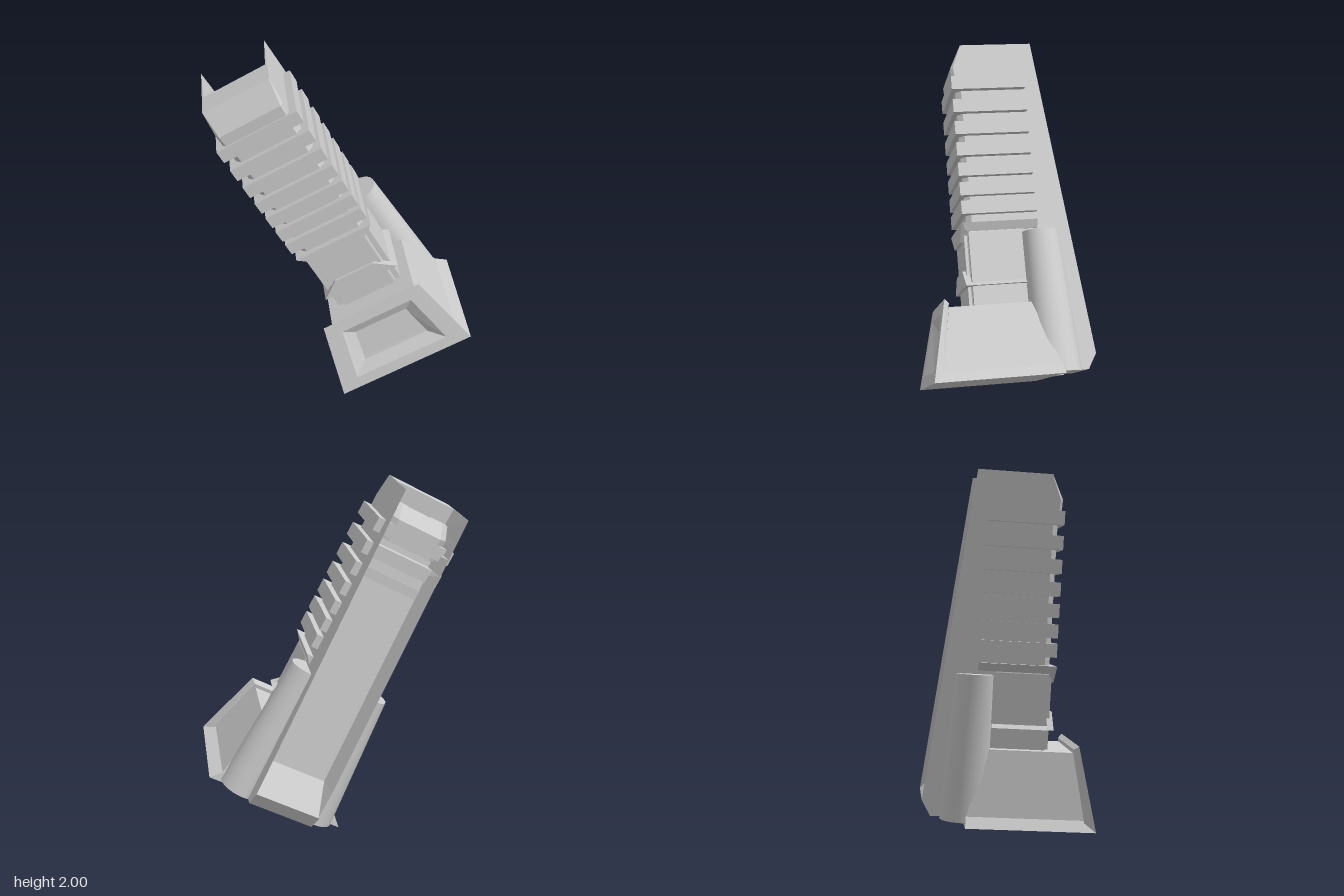
import * as THREE from 'three';

const mat = new THREE.MeshStandardMaterial({ color: 0xcccccc, flatShading: true });
const smooth = new THREE.MeshStandardMaterial({ color: 0xcccccc });

// Solid through matching rings of [x, y, z] corners, stacked along +y or +z,
// each ring counter-clockwise seen from the far end; both ends are capped.
function loft(rings, axis) {
  const pos = [];
  const n = rings[0].length;
  const tri = (a, b, c) => pos.push(...a, ...b, ...c);
  for (let k = 0; k < rings.length - 1; k++) {
    for (let i = 0; i < n; i++) {
      const j = (i + 1) % n;
      const [a, b, c, d] = [rings[k][i], rings[k][j], rings[k + 1][j], rings[k + 1][i]];
      tri(a, b, c);
      tri(a, c, d);
    }
  }
  const cap = (ring, flip) => {
    const flat = ring.map(([x, y, z]) => new THREE.Vector2(x, axis === 'y' ? -z : y));
    for (const [a, b, c] of THREE.ShapeUtils.triangulateShape(flat, [])) {
      if (flip) tri(ring[a], ring[c], ring[b]);
      else tri(ring[a], ring[b], ring[c]);
    }
  };
  cap(rings[0], true);
  cap(rings[rings.length - 1], false);
  const g = new THREE.BufferGeometry();
  g.setAttribute('position', new THREE.Float32BufferAttribute(pos, 3));
  g.computeVertexNormals();
  return g;
}

// Rectangle ring at height y
const rect = (y, w, back, front) =>
  [[-w, y, front], [w, y, front], [w, y, back], [-w, y, back]];

// Column section: chamfered front corners, open channel between tapered back walls
const section = (y, front, rim, floor, inner = 0.165, c = 0.03) => {
  const w = 0.197;
  return [[-w + c, front], [w - c, front], [w, front - c], [w, rim], [inner, floor],
    [-inner, floor], [-w, rim], [-w, front - c]].map(([x, z]) => [x, y, z]);
};

export function createModel() {
  const model = new THREE.Group();
  const add = (name, geometry, material = mat) => {
    const m = new THREE.Mesh(geometry, material);
    m.name = name;
    model.add(m);
    return m;
  };

  // Column with the sloping back channel
  const rim = y => -0.47 + (y - 0.106) * 0.115;
  const floor = y => rim(y) + 0.12;
  add('column', loft([
    section(0.02, 0.2, -0.42, -0.42),
    section(0.106, 0.2, rim(0.106), rim(0.106), 0.19),
    section(0.27, 0.2, rim(0.27), floor(0.27)),
    section(1.56, 0.2, rim(1.56), floor(1.56)),
    section(1.6, 0.2, rim(1.6), floor(1.6) + 0.035),
    section(1.68, 0.2, rim(1.68), floor(1.68) + 0.035),
    section(1.7, 0.215, rim(1.7), 0, 0.175, 0.02),
    section(1.8, 0.22, rim(1.8), 0, 0.18, 0.015),
    section(1.935, 0.155, rim(1.935), 0, 0.185, 0.002),
  ], 'y'));

  // Notched block with a sloping back in the upper end of the channel
  const block = (y, back) => [[-0.178, 0], [-0.07, 0], [-0.07, -0.05], [0.07, -0.05], [0.07, 0], [0.178, 0],
    [0.178, back + 0.05], [0.13, back], [-0.13, back], [-0.178, back + 0.05]].map(([x, z]) => [x, y, z]);
  add('channelBlock', loft([block(1.64, -0.2), block(1.77, -0.2), block(1.84, -0.11)], 'y'));

  // Grip ridges, closing up slightly towards the base
  for (let i = 0; i < 7; i++) {
    const y = 1.696 - i * (0.1395 - 0.003 * i);
    add('gripRidge', new THREE.BoxGeometry(0.476, 0.077, 0.428)).position.set(0, y, 0.014);
  }

  // Recess panels between and below the two lips
  add('frontPanel', new THREE.BoxGeometry(0.33, 0.45, 0.03)).position.set(0, 0.625, 0.202);
  add('sidePanels', loft([rect(0.4, 0.204, -0.1, 0.195), rect(0.83, 0.204, -0.1, 0.195),
    rect(0.85, 0.197, -0.1, 0.195)], 'y'));

  // Lips with a tapered tongue on the front, facing each other
  const upperBack = -0.2, lowerBack = -0.11;
  add('upperLip', loft([rect(0.835, 0.204, upperBack, 0.21), rect(0.88, 0.237, upperBack, 0.228)], 'y'));
  add('lowerLip', loft([rect(0.525, 0.237, lowerBack, 0.228), rect(0.545, 0.204, lowerBack, 0.21)], 'y'));
  for (const [y, dir] of [[0.88, -1], [0.525, 1]]) {
    const outline = [[-0.237, y], [0.237, y], [0.125, y + dir * 0.095], [-0.125, y + dir * 0.095]];
    if (dir < 0) outline.reverse();
    const ring = z => outline.map(([x, yy]) => [x, yy, z]);
    add('lipTongue', loft([ring(0.2), ring(0.235)], 'z'));
  }

  // Rounded side tubes, wider towards the base, cut flat where they meet the column
  for (const side of [-1, 1]) {
    const g = new THREE.CylinderGeometry(0.103, 0.13, 0.8, 24);
    const p = g.attributes.position;
    for (let i = 0; i < p.count; i++) {
      const t = 0.5 - p.getY(i) / 0.8;
      const out = Math.max(side * p.getX(i) + 0.195 + 0.028 * t, 0.185);
      p.setXYZ(i, side * out, p.getY(i) + 0.415, p.getZ(i) - 0.215 - 0.025 * t);
    }
    g.computeVertexNormals();
    add('sideTube', g, smooth);
  }

  // Flared base with a bevelled foot
  add('base', loft([rect(0, 0.419, -0.24, 0.469), rect(0.054, 0.362, -0.235, 0.41),
    rect(0.41, 0.267, -0.115, 0.345)], 'y'));

  // Leaning front plate with a bevelled recess
  const panel = (y0, w0, y1, w1, dz0, dz1 = dz0) => [[-w0, y0, dz0], [w0, y0, dz0], [w1, y1, dz1], [-w1, y1, dz1]]
    .map(([x, y, dz]) => [x, y, 0.47 - 0.22 * y + dz]);
  add('frontPlate', loft([
    panel(0.04, 0.375, 0.43, 0.28, -0.05, -0.03),
    panel(0, 0.419, 0.452, 0.306, 0),
    panel(0.066, 0.293, 0.38, 0.222, 0),
    panel(0.12, 0.205, 0.305, 0.155, -0.045),
  ], 'z'));

  // Lean the whole piece to its right
  model.rotation.z = THREE.MathUtils.degToRad(27.6);
  model.position.set(0.35, 0.195, 0);
  const root = new THREE.Group();
  root.name = 'grip';
  root.add(model);
  return root;
}
